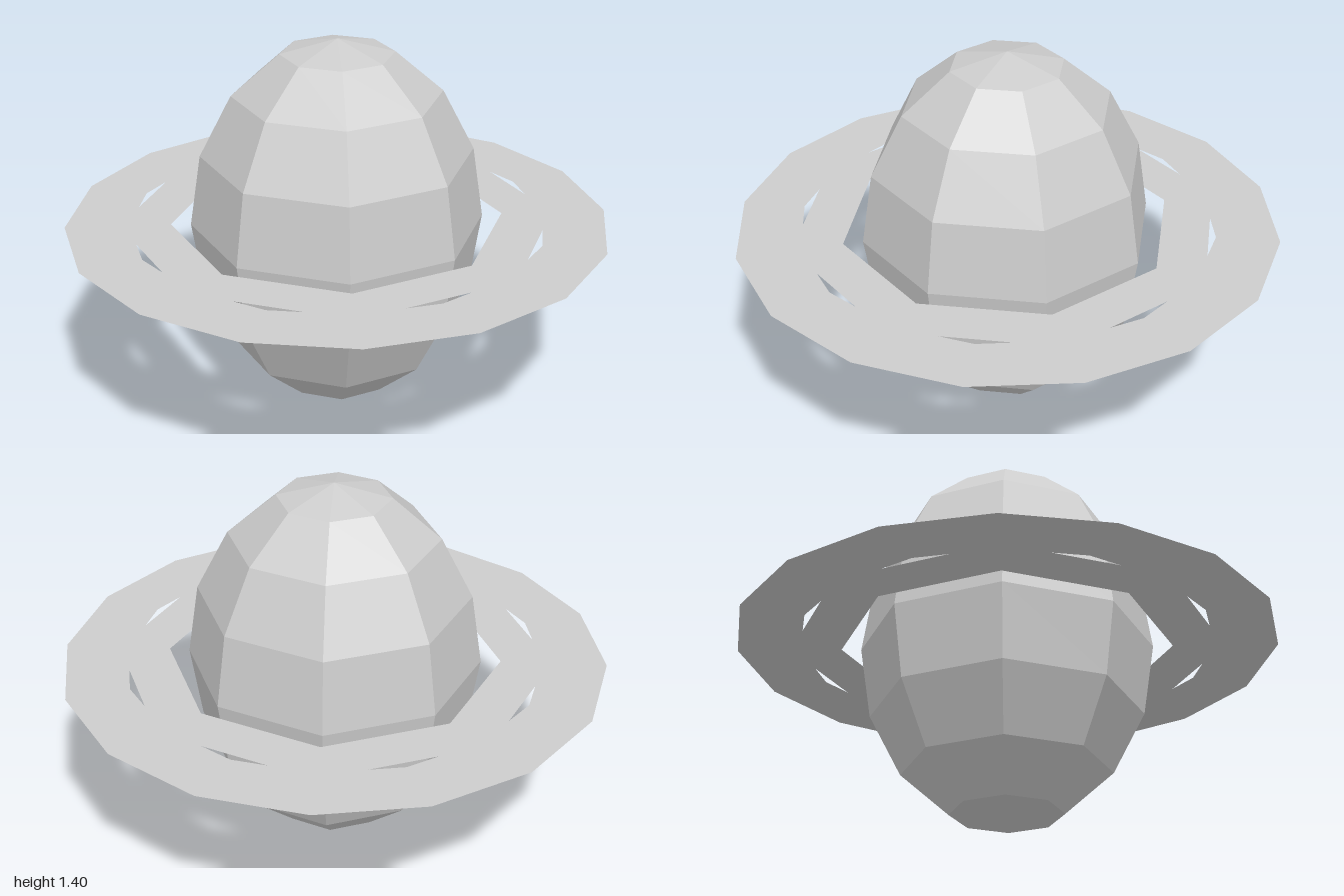
import * as THREE from 'three';

// Corners of a regular polygon with its first corner on +x
const polygon = (radius, sides) =>
  Array.from({ length: sides }, (_, i) => {
    const a = (i / sides) * Math.PI * 2;
    return new THREE.Vector2(Math.cos(a) * radius, Math.sin(a) * radius);
  });

export function createModel() {
  const model = new THREE.Group();
  model.name = 'ringedPlanet';

  const grey = new THREE.MeshStandardMaterial({ color: 0xcccccc, flatShading: true, side: THREE.DoubleSide });
  grey.name = 'light grey';

  // Tall faceted body
  const body = new THREE.Mesh(new THREE.SphereGeometry(1, 8, 8).scale(0.54, 0.7, 0.54), grey);
  body.name = 'planetBody';
  body.position.y = 0.7;
  model.add(body);

  // Flat ring: sixteen-sided rim, octagonal opening
  const shape = new THREE.Shape(polygon(1, 16));
  shape.holes.push(new THREE.Path(polygon(0.613, 8)));

  // Thin triangular slits facing each side of the opening
  const centre = new THREE.Vector2();
  for (let i = 0; i < 8; i++) {
    const angle = ((i + 0.5) / 8) * Math.PI * 2;
    const corners = [[0.742, -0.128], [0.768, 0], [0.742, 0.128]]
      .map(([x, y]) => new THREE.Vector2(x, y).rotateAround(centre, angle));
    shape.holes.push(new THREE.Path(corners));
  }

  const ring = new THREE.Mesh(new THREE.ShapeGeometry(shape).rotateX(-Math.PI / 2), grey);
  ring.name = 'planetRing';
  ring.position.y = 0.703;
  model.add(ring);

  return model;
}
